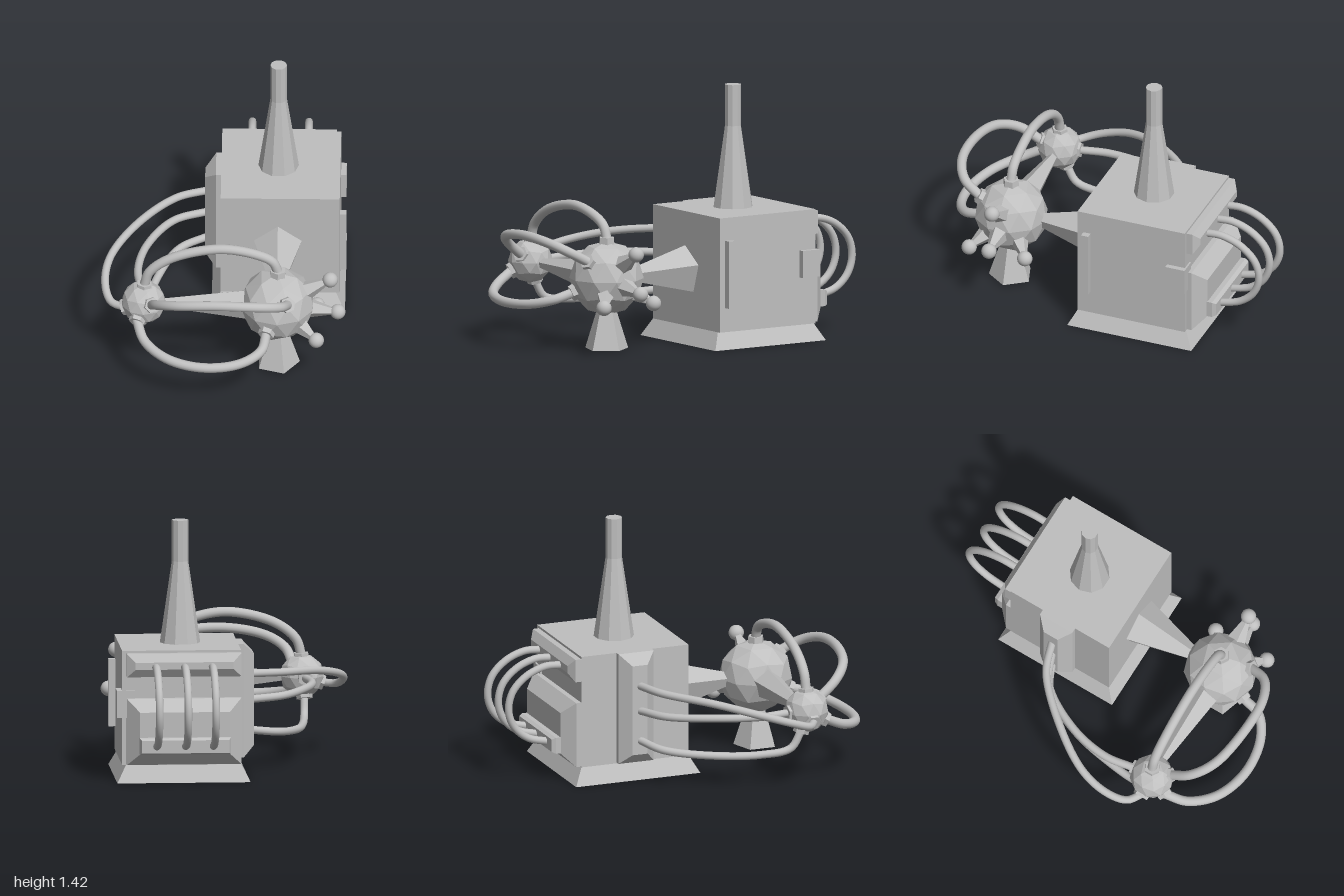
import * as THREE from 'three';

const metal = new THREE.MeshStandardMaterial({ color: 0xbfbfbf });
metal.name = 'plain grey';

const V = (x, y, z) => new THREE.Vector3(x, y, z);
const UP = V(0, 1, 0);
const QUARTER = Math.PI / 2;

// Gives every face its own normal
function faceted(geo) {
  const g = geo.index ? geo.toNonIndexed() : geo;
  g.computeVertexNormals();
  return g;
}

export function createModel() {
  const model = new THREE.Group();
  model.name = 'tankAssembly';

  const add = (name, geo) => {
    const mesh = new THREE.Mesh(geo, metal);
    mesh.name = name;
    model.add(mesh);
    return mesh;
  };

  // Box between two corners
  const box = (name, a, b) => {
    const g = new THREE.BoxGeometry(b[0] - a[0], b[1] - a[1], b[2] - a[2]);
    g.translate((a[0] + b[0]) / 2, (a[1] + b[1]) / 2, (a[2] + b[2]) / 2);
    return add(name, g);
  };

  // Box whose low or high end on one axis is inset on the other two axes
  const bevel = (name, a, b, axis, end, inset) => {
    const g = new THREE.BoxGeometry(1, 1, 1);
    const p = g.attributes.position;
    for (let i = 0; i < p.count; i++) {
      const s = [p.getX(i), p.getY(i), p.getZ(i)];
      const tapered = s[axis] * end > 0;
      const c = s.map((v, k) => (v < 0 ? a[k] : b[k]) - (tapered && k !== axis ? Math.sign(v) * inset : 0));
      p.setXYZ(i, ...c);
    }
    return add(name, faceted(g));
  };

  // Faceted tapered prism between two points
  const prism = (name, from, to, r0, r1, sides = 5, twist = 0) => {
    const dir = to.clone().sub(from);
    const g = new THREE.CylinderGeometry(r1, r0, dir.length(), sides);
    g.rotateY(twist);
    g.applyQuaternion(new THREE.Quaternion().setFromUnitVectors(UP, dir.clone().normalize()));
    const mid = from.clone().add(to).multiplyScalar(0.5);
    g.translate(mid.x, mid.y, mid.z);
    return add(name, faceted(g));
  };

  // Faceted ball with a corner pointing up
  const orb = (name, c, r) => {
    const g = new THREE.IcosahedronGeometry(r, 1);
    g.rotateZ(-Math.atan(2 / (1 + Math.sqrt(5))));
    g.translate(c.x, c.y, c.z);
    return add(name, faceted(g));
  };

  const pipe = (name, points, r) => {
    const curve = new THREE.CatmullRomCurve3(points.map(p => V(...p)));
    return add(name, new THREE.TubeGeometry(curve, 48, r, 14));
  };

  const collar = (p, centre) => {
    const at = V(...p);
    const d = at.clone().sub(centre).normalize();
    prism('pipeCollar', at.clone().addScaledVector(d, -0.035), at.clone().addScaledVector(d, 0.012), 0.048, 0.044, 6);
  };

  // Tank and flared base
  box('tankBody', [-0.02, 0.095, -0.61], [0.64, 0.735, 0.03]);
  bevel('tankBase', [-0.07, 0, -0.66], [0.67, 0.095, 0.08], 1, 1, 0.05);

  // Chimney
  prism('chimneyCone', V(0.297, 0.73, -0.29), V(0.297, 1.19, -0.29), 0.113, 0.046, 10, QUARTER);
  prism('chimneyTop', V(0.297, 1.19, -0.29), V(0.297, 1.42, -0.29), 0.046, 0.046, 10, QUARTER);

  // Raised panel on the side with the pipes
  box('sidePanelSlab', [-0.05, 0.1, -0.4], [-0.02, 0.735, -0.19]);
  bevel('sidePanelFace', [-0.11, 0.1, -0.4], [-0.05, 0.735, -0.19], 0, -1, 0.06);

  // Fittings on the opposite side
  box('sideStrip', [0.63, 0.23, -0.048], [0.677, 0.607, -0.005]);
  box('cornerBox', [0.57, 0.36, -0.62], [0.67, 0.512, -0.505]);

  // Back panels and the lower pipe rail
  box('upperBackSlab', [-0.02, 0.592, -0.645], [0.615, 0.722, -0.6]);
  bevel('upperBackFace', [-0.02, 0.592, -0.675], [0.615, 0.722, -0.645], 2, -1, 0.045);
  box('lowerBackSlab', [-0.02, 0.1, -0.64], [0.615, 0.47, -0.6]);
  bevel('lowerBackFace', [-0.02, 0.1, -0.708], [0.615, 0.47, -0.64], 2, -1, 0.068);
  box('pipeRail', [0.045, 0.17, -0.735], [0.55, 0.262, -0.7]);
  bevel('pipeRailFace', [0.045, 0.17, -0.757], [0.55, 0.262, -0.735], 2, -1, 0.01);

  // Looped pipes at the back
  for (const x of [0.143, 0.297, 0.457]) {
    pipe('backPipe', [
      [x, 0.65, -0.66], [x, 0.652, -0.76], [x, 0.61, -0.87], [x, 0.525, -0.955], [x, 0.42, -0.979],
      [x, 0.32, -0.945], [x, 0.25, -0.865], [x, 0.215, -0.74],
    ], 0.021);
  }

  // Faceted orbs, their arms and the foot
  const big = V(0.302, 0.405, 0.56);
  const small = V(-0.44, 0.413, 0.567);
  orb('largeOrb', big, 0.207);
  orb('smallOrb', small, 0.124);
  prism('orbArm', V(0.17, 0.405, 0.56), V(-0.41, 0.41, 0.565), 0.092, 0.016, 5, QUARTER);
  prism('tankArm', V(0.297, 0.405, 0.42), V(0.297, 0.405, 0.02), 0.03, 0.142);
  prism('orbFoot', V(0.302, 0.01, 0.56), V(0.302, 0.24, 0.56), 0.125, 0.052, 5, QUARTER);

  // Ball-tipped spikes
  for (const tip of [[0.595, 0.57, 0.56], [0.637, 0.352, 0.56], [0.52, 0.275, 0.725], [0.52, 0.275, 0.393]]) {
    const end = V(...tip);
    prism('spike', big.clone().lerp(end, 0.5), end, 0.06, 0.014);
    const ball = new THREE.SphereGeometry(0.043, 20, 14);
    ball.translate(...tip);
    add('spikeBall', ball);
  }

  // Thick pipes from the small orb to the large one
  const orbPipes = [
    [[-0.435, 0.53, 0.565], [-0.405, 0.62, 0.565], [-0.28, 0.715, 0.565], [-0.02, 0.775, 0.562],
      [0.18, 0.74, 0.56], [0.275, 0.69, 0.56], [0.305, 0.622, 0.56]],
    [[-0.395, 0.46, 0.66], [-0.36, 0.54, 0.77], [-0.25, 0.6, 0.86], [-0.03, 0.635, 0.905],
      [0.2, 0.62, 0.895], [0.32, 0.575, 0.83], [0.36, 0.515, 0.725]],
    [[-0.475, 0.36, 0.67], [-0.43, 0.305, 0.79], [-0.3, 0.27, 0.91], [-0.1, 0.255, 0.967],
      [0.1, 0.265, 0.94], [0.215, 0.295, 0.86], [0.243, 0.33, 0.745]],
  ];
  for (const points of orbPipes) {
    pipe('orbPipe', points, 0.027);
    collar(points[0], small);
    collar(points.at(-1), big);
  }

  // Thinner pipes from the tank panel to the small orb
  const tankPipes = [
    [[-0.09, 0.555, -0.295], [-0.27, 0.55, -0.225], [-0.49, 0.525, 0], [-0.63, 0.47, 0.23],
      [-0.655, 0.415, 0.4], [-0.62, 0.375, 0.515], [-0.55, 0.375, 0.565]],
    [[-0.09, 0.41, -0.295], [-0.28, 0.415, -0.2], [-0.43, 0.42, 0.05], [-0.475, 0.415, 0.28], [-0.45, 0.413, 0.455]],
    [[-0.09, 0.24, -0.295], [-0.25, 0.215, -0.21], [-0.37, 0.19, 0.03], [-0.425, 0.18, 0.3],
      [-0.445, 0.205, 0.47], [-0.45, 0.3, 0.53]],
  ];
  for (const points of tankPipes) {
    pipe('tankPipe', points, 0.022);
    collar(points.at(-1), small);
  }

  return model;
}
